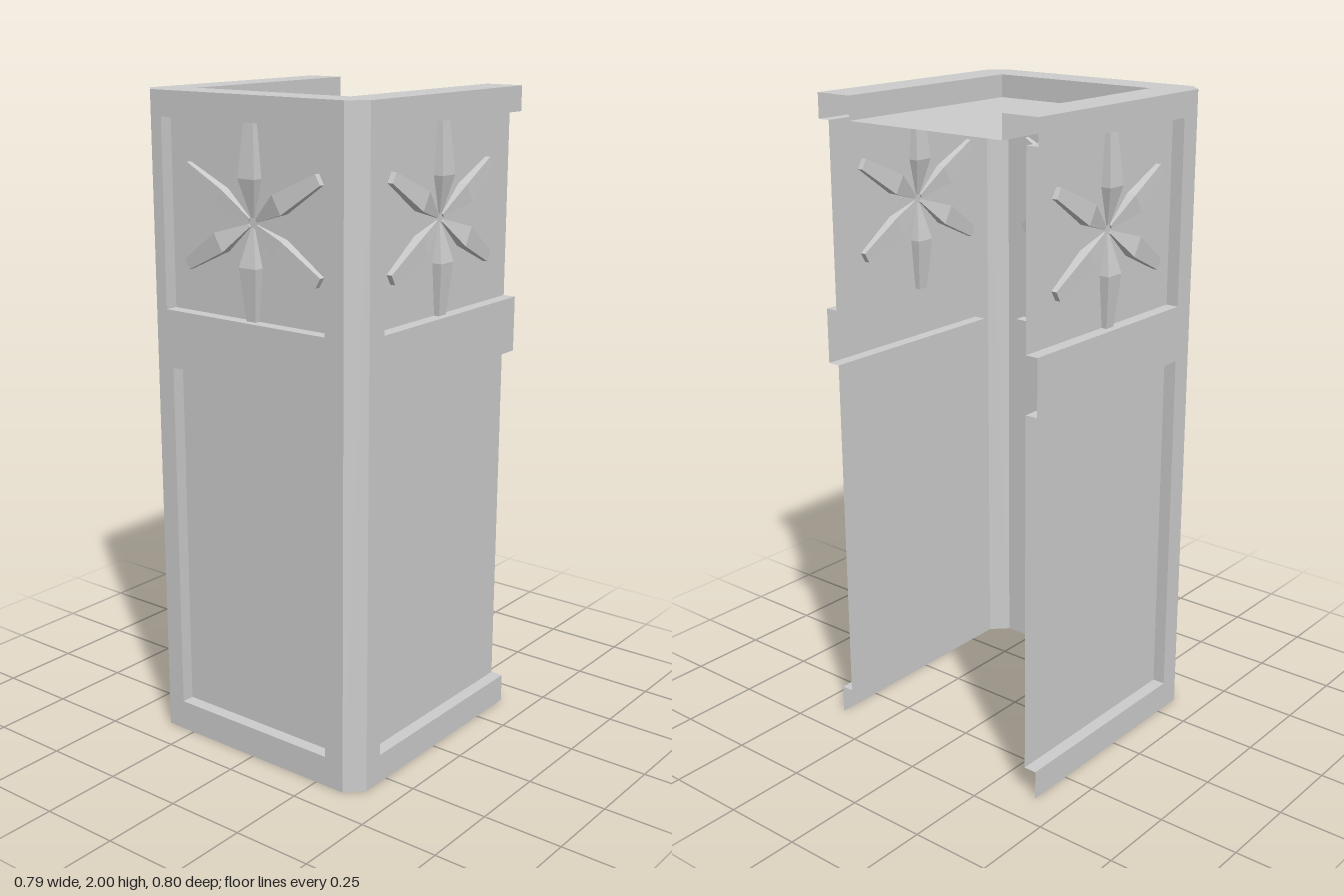
import * as THREE from 'three';

const material = new THREE.MeshStandardMaterial({ color: 0xcccccc, flatShading: true, side: THREE.DoubleSide });
const X = 0.397, Z = 0.4, CUT = 0.05, TOP = 2, DEPTH = 0.04;

function add(parent, geometry, name) {
  const mesh = new THREE.Mesh(geometry, material);
  mesh.name = name;
  parent.add(mesh);
  return mesh;
}

// Flat rectangle facing local +z
function sheet(parent, name, u0, u1, v0, v1, z = 0) {
  if (u1 - u0 < 1e-4 || v1 - v0 < 1e-4) return;
  add(parent, new THREE.PlaneGeometry(u1 - u0, v1 - v0), name)
    .position.set((u0 + u1) / 2, (v0 + v1) / 2, z);
}

// Thin wall in the local xy plane with pockets pressed in along -z.
// A pocket that reaches the wall's edge stays open there.
function wall(name, [u0, u1, v0, v1], pockets) {
  const group = new THREE.Group();
  group.name = name;
  let v = v0;
  for (const { u: [a, b], v: [c, d], depth } of pockets) {
    sheet(group, 'rail', u0, u1, v, c);
    sheet(group, 'stile', u0, a, c, d);
    sheet(group, 'stile', b, u1, c, d);
    sheet(group, 'panel', a, b, c, d, -depth);
    for (const y of [c, d]) {
      const lip = add(group, new THREE.PlaneGeometry(b - a, depth), 'panelLip');
      lip.rotation.x = y === c ? -Math.PI / 2 : Math.PI / 2;
      lip.position.set((a + b) / 2, y, -depth / 2);
    }
    for (const x of [a, b]) {
      if (x === u1) continue;
      const jamb = add(group, new THREE.PlaneGeometry(depth, d - c), 'panelJamb');
      jamb.rotation.y = x === a ? Math.PI / 2 : -Math.PI / 2;
      jamb.position.set(x, (c + d) / 2, -depth / 2);
    }
    v = d;
  }
  sheet(group, 'rail', u0, u1, v, v1);
  return group;
}

// Six square tapered arms, half sunk through the panel
function star(u, v) {
  const group = new THREE.Group();
  group.name = 'starOrnament';
  const profile = [[0, 0.015], [0.005, 0.015], [0.031, 0.125], [0.017, 0.281], [0, 0.281]]
    .map(([half, r]) => new THREE.Vector2(half * Math.SQRT2, r));
  const arm = new THREE.LatheGeometry(profile, 4, Math.PI / 4);
  for (let i = 0; i < 6; i++) add(group, arm, 'starArm').rotation.z = i * Math.PI / 3;
  group.position.set(u, v, -DEPTH);
  return group;
}

export function createModel() {
  const model = new THREE.Group();
  model.name = 'panelledShell';

  // Front and back walls, running out to the open side
  for (const side of [1, -1]) {
    const w = wall(side > 0 ? 'frontWall' : 'backWall', [-X + CUT, X, 0, TOP], [
      { u: [-0.28, X], v: [0.09, 1.195], depth: DEPTH },
      { u: [-0.28, X], v: [1.365, 1.925], depth: DEPTH },
    ]);
    w.add(star(0.035, 1.645));
    w.position.z = side * Z;
    w.scale.z = side;
    model.add(w);

    // Chamfered corner post
    const post = add(model, new THREE.PlaneGeometry(CUT * Math.SQRT2, TOP), 'cornerChamfer');
    post.position.set(-X + CUT / 2, TOP / 2, side * (Z - CUT / 2));
    post.rotation.y = side > 0 ? -Math.PI / 4 : -Math.PI * 3 / 4;
  }

  // Closed side wall
  const sideWall = wall('sideWall', [-Z + CUT, Z - CUT, 0, TOP], [
    { u: [-0.29, 0.285], v: [0.095, 1.19], depth: DEPTH },
    { u: [-0.31, 0.285], v: [1.365, 1.925], depth: DEPTH },
  ]);
  sideWall.add(star(0, 1.645));
  sideWall.rotation.y = -Math.PI / 2;
  sideWall.position.x = -X;
  model.add(sideWall);

  // Top with sunken panel, plus the strip between the chamfers
  const top = wall('top', [-X + CUT, X, -Z, Z], [
    { u: [-0.277, X], v: [-0.278, 0.28], depth: 0.07 },
  ]);
  const strip = new THREE.Shape([[-X, -Z + CUT], [-X + CUT, -Z], [-X + CUT, Z], [-X, Z - CUT]]
    .map(([x, y]) => new THREE.Vector2(x, y)));
  add(top, new THREE.ShapeGeometry(strip), 'chamferedRim');
  top.rotation.x = -Math.PI / 2;
  top.position.y = TOP;
  model.add(top);

  return model;
}
